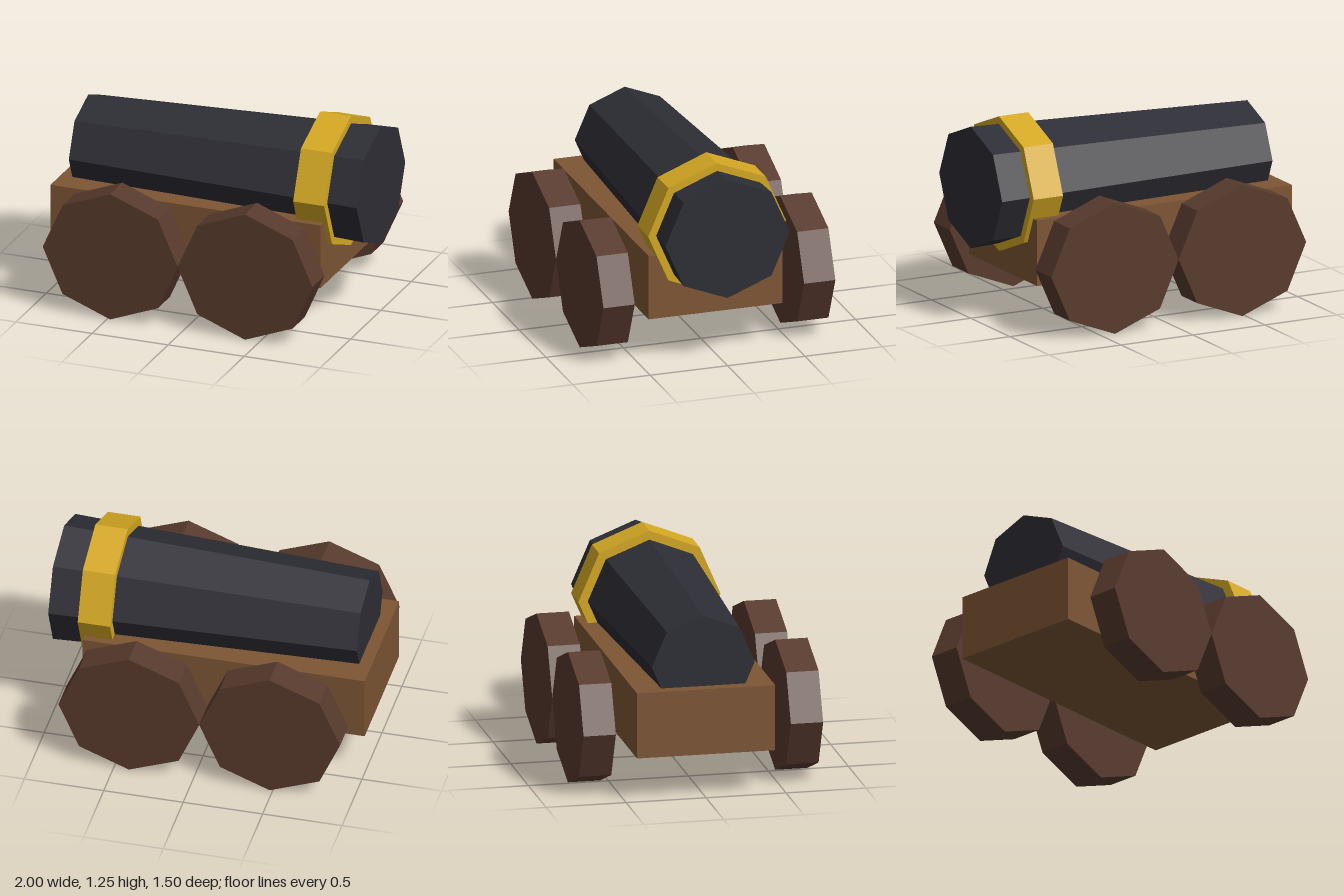
import * as THREE from 'three';

const paint = (name, color) => {
  const m = new THREE.MeshStandardMaterial({ color, flatShading: true });
  m.name = name;
  return m;
};

export function createModel() {
  const iron = paint('dark iron', 0x2d2d35);
  const gold = paint('gold', 0xd4a823);
  const wood = paint('carriage wood', 0x7d5534);
  const darkWood = paint('wheel wood', 0x583a2d);

  const model = new THREE.Group();
  model.name = 'cannon';

  const add = (name, geometry, material, x, y, z) => {
    const mesh = new THREE.Mesh(geometry, material);
    mesh.name = name;
    mesh.position.set(x, y, z);
    model.add(mesh);
  };

  // Eight-sided drum lying along x, slightly wider in z than in y
  const axis = 0.826;
  const drum = (name, material, x0, x1, r0, r1) => {
    const g = new THREE.CylinderGeometry(r1, r0, x1 - x0, 8);
    g.rotateZ(-Math.PI / 2).scale(1, 1, 1.046);
    add(name, g, material, (x0 + x1) / 2, axis, 0);
  };
  drum('barrel', iron, -0.923, 1, 0.308, 0.384);
  drum('muzzleBand', gold, 0.6, 0.804, 0.425, 0.425);

  // Carriage bed
  add('carriage', new THREE.BoxGeometry(1.775, 0.413, 0.864), wood, -0.1125, 0.482, 0);

  // Four solid octagonal wheels, slightly wider than tall
  const wheel = new THREE.CylinderGeometry(0.413, 0.413, 0.202, 8);
  wheel.rotateX(Math.PI / 2).scale(1.073, 1, 1);
  for (const [end, x] of [['rear', -0.481], ['front', 0.405]]) {
    for (const [side, s] of [['Left', -1], ['Right', 1]]) {
      add(`${end}${side}Wheel`, wheel, darkWood, x, 0.413, s * 0.648);
    }
  }
  return model;
}
